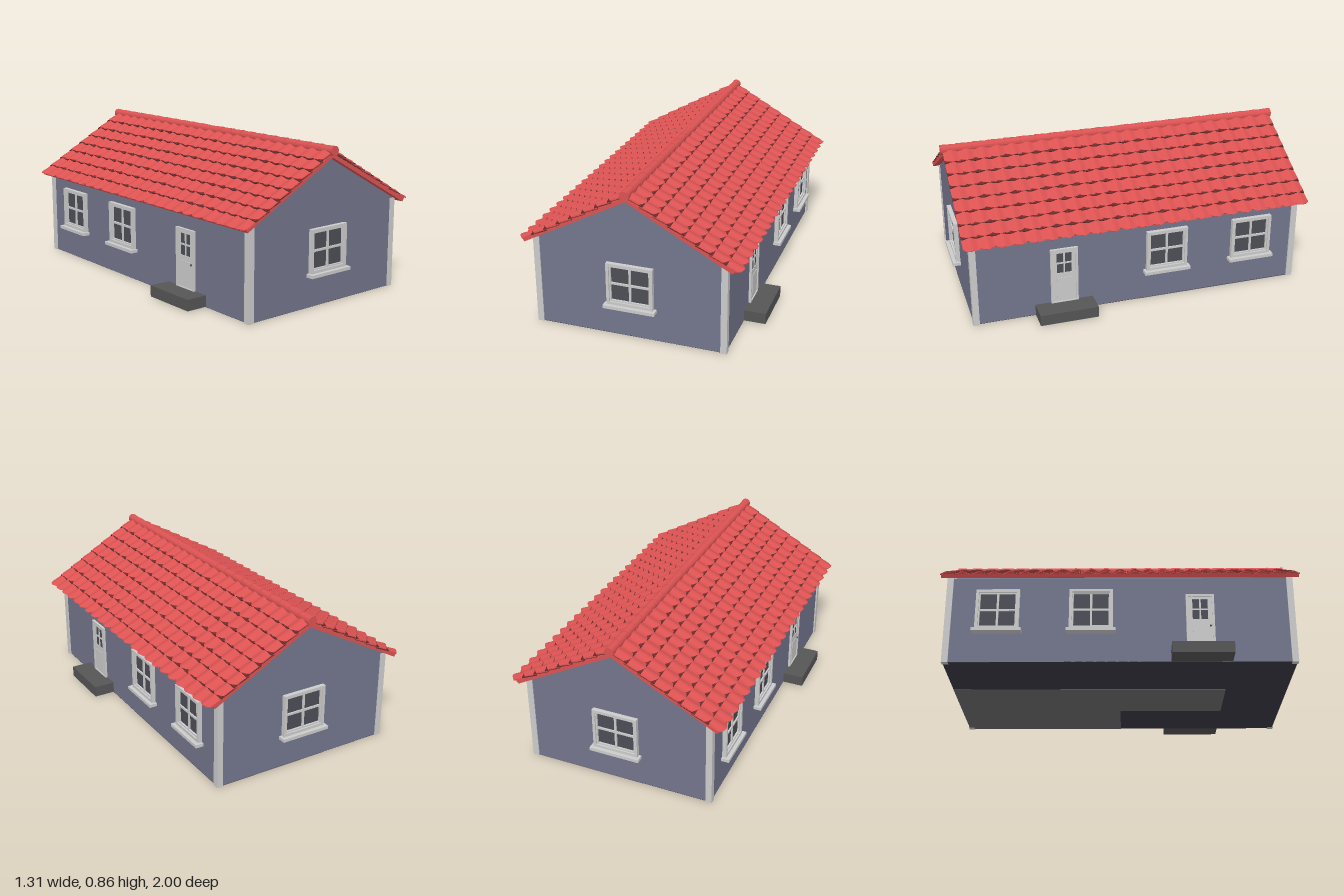
import * as THREE from 'three';

const mat = (color, side = THREE.FrontSide) => new THREE.MeshStandardMaterial({ color, side });
const WALL = mat(0x73758c), TRIM = mat(0xcccccc), GLASS = mat(0x4d4e56), STONE = mat(0x555555);
const ROOF = mat(0xdb5252), SHADE = mat(0x6a2a2a), BASE = mat(0x3a3945), SLAB = mat(0x6c6c6c);
ROOF.flatShading = true;

const HALF_X = 0.532, HALF_Z = 0.95, CX = 0.006;

function add(parent, name, geometry, material, x = 0, y = 0, z = 0) {
  const m = new THREE.Mesh(geometry, material);
  m.name = name;
  m.position.set(x, y, z);
  parent.add(m);
  return m;
}

// box given by its min and max corners
const box = (parent, name, material, x0, y0, z0, x1, y1, z1) =>
  add(parent, name, new THREE.BoxGeometry(x1 - x0, y1 - y0, z1 - z0), material,
    (x0 + x1) / 2, (y0 + y1) / 2, (z0 + z1) / 2);

function polygon(points) {
  return new THREE.Shape(points.map(([x, y]) => new THREE.Vector2(x, y)));
}

// rectangle ring standing on local y = 0, facing +z
function frame(parent, name, w, h, t, depth, y = 0) {
  const shape = polygon([[-w / 2, 0], [w / 2, 0], [w / 2, h], [-w / 2, h]]);
  shape.holes.push(polygon([[-w / 2 + t, t], [-w / 2 + t, h - t], [w / 2 - t, h - t], [w / 2 - t, t]]));
  add(parent, name, new THREE.ExtrudeGeometry(shape, { depth, bevelEnabled: false }), TRIM, 0, y, 0);
}

function panes(parent, w, h, y, bar, depth) {
  box(parent, 'glass', GLASS, -w / 2, y, 0, w / 2, y + h, 0.004);
  box(parent, 'verticalBar', TRIM, -bar / 2, y, 0, bar / 2, y + h, depth);
  box(parent, 'horizontalBar', TRIM, -w / 2, y + h / 2 - bar / 2, 0, w / 2, y + h / 2 + bar / 2, depth);
}

function makeWindow(w) {
  const g = new THREE.Group(), h = 0.24;
  g.name = 'window';
  frame(g, 'windowFrame', w, h, 0.016, 0.024);
  frame(g, 'sash', w - 0.03, h - 0.03, 0.009, 0.015, 0.015);
  panes(g, w - 0.045, h - 0.045, 0.0225, 0.012, 0.012);
  box(g, 'sill', TRIM, -w / 2 - 0.015, -0.018, 0, w / 2 + 0.015, 0, 0.045);
  return g;
}

function makeDoor() {
  const g = new THREE.Group();
  g.name = 'door';
  frame(g, 'doorFrame', 0.155, 0.34, 0.013, 0.014);
  // leaf with a window opening
  const leaf = polygon([[-0.066, 0], [0.066, 0], [0.066, 0.33], [-0.066, 0.33]]);
  leaf.holes.push(polygon([[-0.042, 0.19], [-0.042, 0.312], [0.042, 0.312], [0.042, 0.19]]));
  add(g, 'doorLeaf', new THREE.ExtrudeGeometry(leaf, { depth: 0.008, bevelEnabled: false }), TRIM);
  panes(g, 0.084, 0.122, 0.19, 0.009, 0.008);
  box(g, 'doorPanel', TRIM, -0.042, 0.03, 0.006, 0.042, 0.16, 0.011);
  return g;
}

// one course of wavy tiles: wave across X, running down +Z, tail rounded by trim
function tileCourse(length, trim) {
  const N = 23, STEP = 8, W = 1.98, T = 0.006, top = [], bottom = [];
  for (let i = 0; i <= N * STEP; i++) {
    const x = -W / 2 + (W * i) / (N * STEP);
    const y = -0.006 * Math.cos((i / STEP) * 2 * Math.PI);
    bottom.push([x, y]);
    top.unshift([x, y + T]);
  }
  const geo = new THREE.ExtrudeGeometry(polygon([...bottom, ...top]), { depth: length, bevelEnabled: false });
  const p = geo.attributes.position;
  for (let i = 0; i < p.count; i++) {
    if (p.getZ(i) < length / 2) continue;
    const u = ((p.getX(i) + W / 2) / W) * N;
    p.setZ(i, length - trim * (1 - Math.abs(Math.sin(u * Math.PI))));
  }
  geo.computeVertexNormals();
  return geo;
}

function makeTiles() {
  const g = new THREE.Group();
  g.name = 'roofTiles';
  const ROWS = 8, PITCH = 0.0845, slope = Math.atan(0.565);
  const tile = tileCourse(0.102, 0.024), gap = tileCourse(0.1, 0);
  for (const turn of [0, Math.PI]) {
    const side = new THREE.Group(), plane = new THREE.Group();
    side.name = 'tiledSlope';
    side.rotation.y = turn;
    side.position.x = CX;
    // X along the ridge, Y off the slope, Z down the slope
    const down = new THREE.Vector3(Math.cos(slope), -Math.sin(slope), 0);
    const normal = new THREE.Vector3(Math.sin(slope), Math.cos(slope), 0);
    plane.setRotationFromMatrix(new THREE.Matrix4().makeBasis(new THREE.Vector3(0, 0, -1), normal, down));
    plane.position.set(0.006, 0.832, 0);
    for (let r = 0; r < ROWS; r++) {
      const z = r * PITCH;
      add(plane, 'tileCourse', tile, ROOF, 0, 0, z).rotation.x = -0.1;
      if (r < ROWS - 1) add(plane, 'courseShadow', gap, SHADE, 0, -0.003, z).rotation.x = -0.1;
    }
    side.add(plane);
    g.add(side);
  }
  return g;
}

export function createModel() {
  const house = new THREE.Group();
  house.name = 'house';

  // walls with both gables
  const gable = polygon([[-HALF_X, 0.003], [HALF_X, 0.003], [HALF_X, 0.512], [CX, 0.802], [-HALF_X, 0.506]]);
  add(house, 'walls', new THREE.ExtrudeGeometry(gable, { depth: HALF_Z * 2, bevelEnabled: false }), WALL, 0, 0, -HALF_Z);

  // underside
  box(house, 'base', BASE, -HALF_X, 0.002, -HALF_Z, HALF_X, 0.004, HALF_Z);
  box(house, 'floorSlab', SLAB, -0.14, 0, -HALF_Z, HALF_X, 0.003, 0);
  box(house, 'floorSlab', SLAB, -0.14, 0, 0, 0.215, 0.003, 0.6);

  // corner posts
  for (const sx of [-1, 1]) for (const sz of [-1, 1])
    add(house, 'cornerPost', new THREE.BoxGeometry(0.035, 0.51, 0.035), TRIM, sx * 0.5225, 0.255, sz * 0.9375);

  // roof boards
  const boards = polygon([[CX, 0.798], [0.572, 0.488], [0.588, 0.508], [CX, 0.822], [-0.588, 0.508], [-0.576, 0.488]]);
  add(house, 'roofBoards', new THREE.ExtrudeGeometry(boards, { depth: 1.97, bevelEnabled: false }), ROOF, 0, 0, -0.985);

  house.add(makeTiles());

  // overlapping ridge caps, laid from both ends to the middle
  const capGeo = new THREE.CylinderGeometry(0.027, 0.0235, 0.1, 16);
  for (const s of [-1, 1]) for (let i = 0; i < 11; i++)
    add(house, 'ridgeCap', capGeo, ROOF, CX, 0.835, s * (0.95 - i * 0.09)).rotation.x = s * Math.PI / 2;

  // gable windows
  for (const s of [1, -1]) {
    const w = makeWindow(0.26);
    w.position.set(0.01, 0.19, s * HALF_Z);
    w.rotation.y = s > 0 ? 0 : Math.PI;
    house.add(w);
  }

  // long sides: two windows, a door and a step each
  for (const s of [1, -1]) {
    const place = (part, y, z) => {
      part.position.set(s * HALF_X, y, z);
      part.rotation.y = s * Math.PI / 2;
      house.add(part);
    };
    place(makeWindow(0.24), 0.188, -0.157);
    place(makeWindow(0.24), 0.188, -0.668);
    const door = makeDoor();
    if (s < 0) add(door, 'doorHandle', new THREE.SphereGeometry(0.006, 12, 8), STONE, 0.054, 0.15, 0.012);
    place(door, 0.06, 0.438);
    add(house, 'doorStep', new THREE.BoxGeometry(0.125, 0.063, 0.33), STONE, s * 0.5925, 0.0365, 0.44);
  }
  return house;
}
